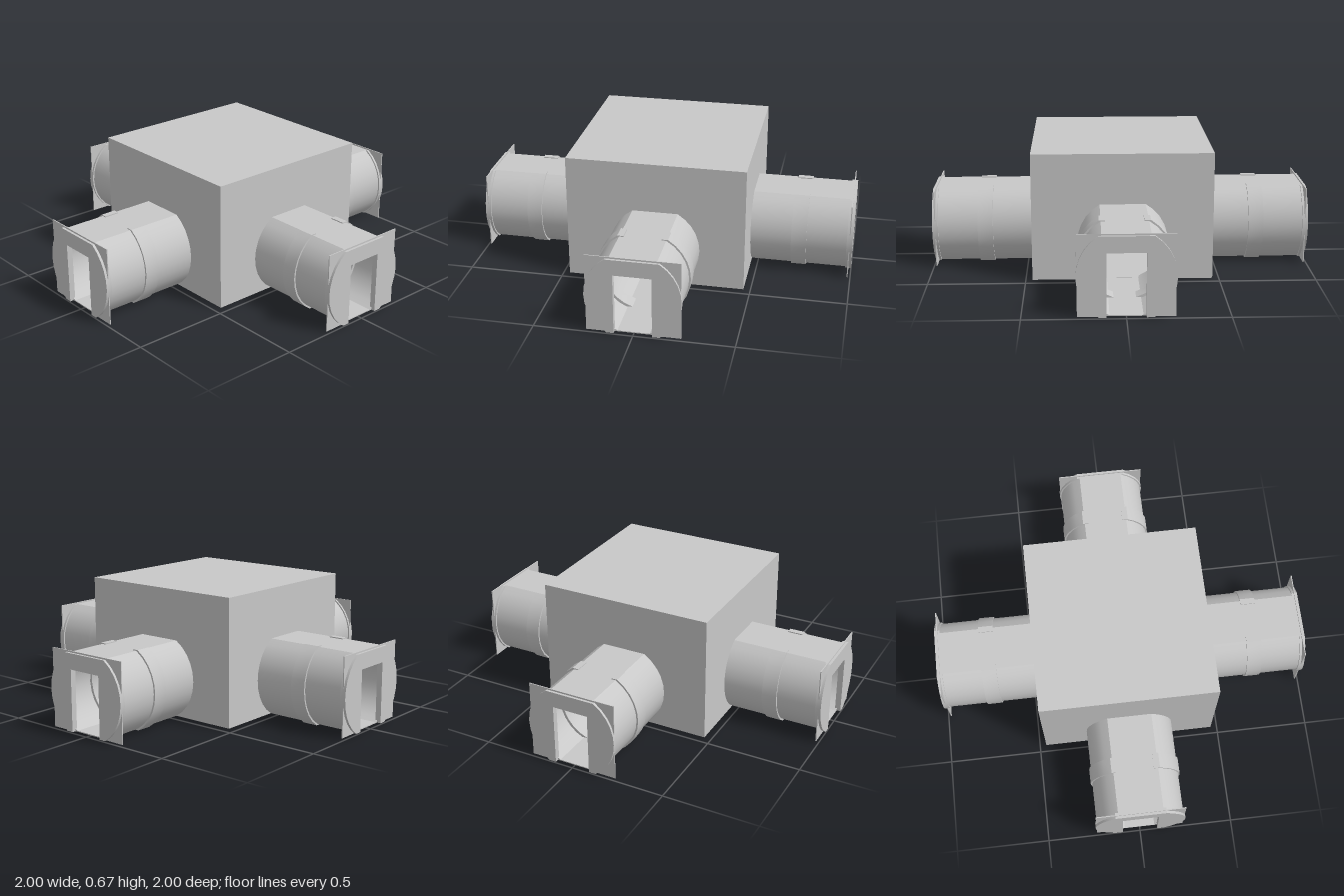
import * as THREE from 'three';
import { toCreasedNormals } from 'three/addons/utils/BufferGeometryUtils.js';

const CY = 0.207;      // height of the tunnel axis
const BASE = 0.006;    // underside of the body
const HALF = 0.465;    // half width of the hub
const DOOR_W = 0.095, DOOR_H = 0.325;

// Points of a circular arc on the right side, from low to high, clipped at the given heights
function sideArc(r, low, high, n = 10) {
  const a = Math.asin(low / r), b = Math.asin(high / r);
  return Array.from({ length: n + 1 }, (_, i) => {
    const t = a + (b - a) * i / n;
    return new THREE.Vector2(Math.cos(t) * r, CY + Math.sin(t) * r);
  });
}

// Circle with a flat top and a flat bottom
function clippedCircle(r, low, high) {
  const right = sideArc(r, low, high);
  const left = right.map(p => new THREE.Vector2(-p.x, p.y)).reverse();
  return [...right, ...left];
}

// Outline notched from below by the doorway
function withDoor(points, bottom) {
  return new THREE.Shape([
    ...points,
    new THREE.Vector2(-DOOR_W, bottom), new THREE.Vector2(-DOOR_W, DOOR_H),
    new THREE.Vector2(DOOR_W, DOOR_H), new THREE.Vector2(DOOR_W, bottom),
  ]);
}

function extrude(shape, z0, z1) {
  const g = new THREE.ExtrudeGeometry(shape, { depth: z1 - z0, bevelEnabled: false });
  return toCreasedNormals(g.translate(0, 0, z0), 0.32);
}

export function createModel() {
  const model = new THREE.Group();
  model.name = 'fourWayTunnelHub';
  const grey = new THREE.MeshStandardMaterial({ color: 0xc8c8c8 });
  grey.name = 'plain grey';

  const add = (parent, name, geometry) => {
    const mesh = new THREE.Mesh(geometry, grey);
    mesh.name = name;
    parent.add(mesh);
    return mesh;
  };

  const bore = () => new THREE.Path(clippedCircle(0.212, -0.196, 0.185));

  // Hub wall with a tunnel opening
  const wallShape = new THREE.Shape([
    new THREE.Vector2(-HALF, BASE), new THREE.Vector2(HALF, BASE),
    new THREE.Vector2(HALF, 0.67), new THREE.Vector2(-HALF, 0.67),
  ]);
  wallShape.holes.push(bore());
  const wall = extrude(wallShape, HALF - 0.03, HALF);

  // Hollow tunnel
  const tubeShape = new THREE.Shape(clippedCircle(0.232, -0.201, 0.2));
  tubeShape.holes.push(bore());
  const tube = extrude(tubeShape, HALF - 0.02, 0.98);

  // Round end wall with a doorway
  const end = extrude(withDoor(clippedCircle(0.24, -0.201, 0.2), BASE), 0.97, 1);

  // Thin square flange behind the end face
  const flange = extrude(withDoor([
    new THREE.Vector2(0.235, BASE), new THREE.Vector2(0.235, 0.415),
    new THREE.Vector2(-0.235, 0.415), new THREE.Vector2(-0.235, BASE),
  ], BASE), 0.982, 0.987);

  // C-shaped clamp on one side, showing outside and inside the tunnel
  const clampShape = new THREE.Shape([
    new THREE.Vector2(0.095, 0),
    ...sideArc(0.241, -0.207, 0.205),
    new THREE.Vector2(0.095, CY + 0.205),
    new THREE.Vector2(0.095, CY + 0.175),
    ...sideArc(0.198, -0.19, 0.175).reverse(),
    new THREE.Vector2(0.095, CY - 0.192),
  ]);
  const clamp = extrude(clampShape, 0.68, 0.76);

  // Four identical arms
  for (let i = 0; i < 4; i++) {
    const arm = new THREE.Group();
    arm.name = ['front', 'left', 'back', 'right'][i] + 'Arm';
    arm.rotation.y = i * Math.PI / 2;
    add(arm, 'hubWall', wall);
    add(arm, 'tunnel', tube);
    add(arm, 'endWall', end);
    add(arm, 'flange', flange);
    add(arm, 'leftClamp', clamp);
    // half a turn about the vertical through the clamp centre mirrors it
    const other = add(arm, 'rightClamp', clamp);
    other.rotation.y = Math.PI;
    other.position.z = 1.44;
    model.add(arm);
  }

  // Roof and floor of the hub
  add(model, 'roof', new THREE.BoxGeometry(2 * HALF, 0.03, 2 * HALF).translate(0, 0.655, 0));
  add(model, 'floor', new THREE.BoxGeometry(2 * HALF, 0.006, 2 * HALF).translate(0, BASE + 0.003, 0));

  return model;
}
